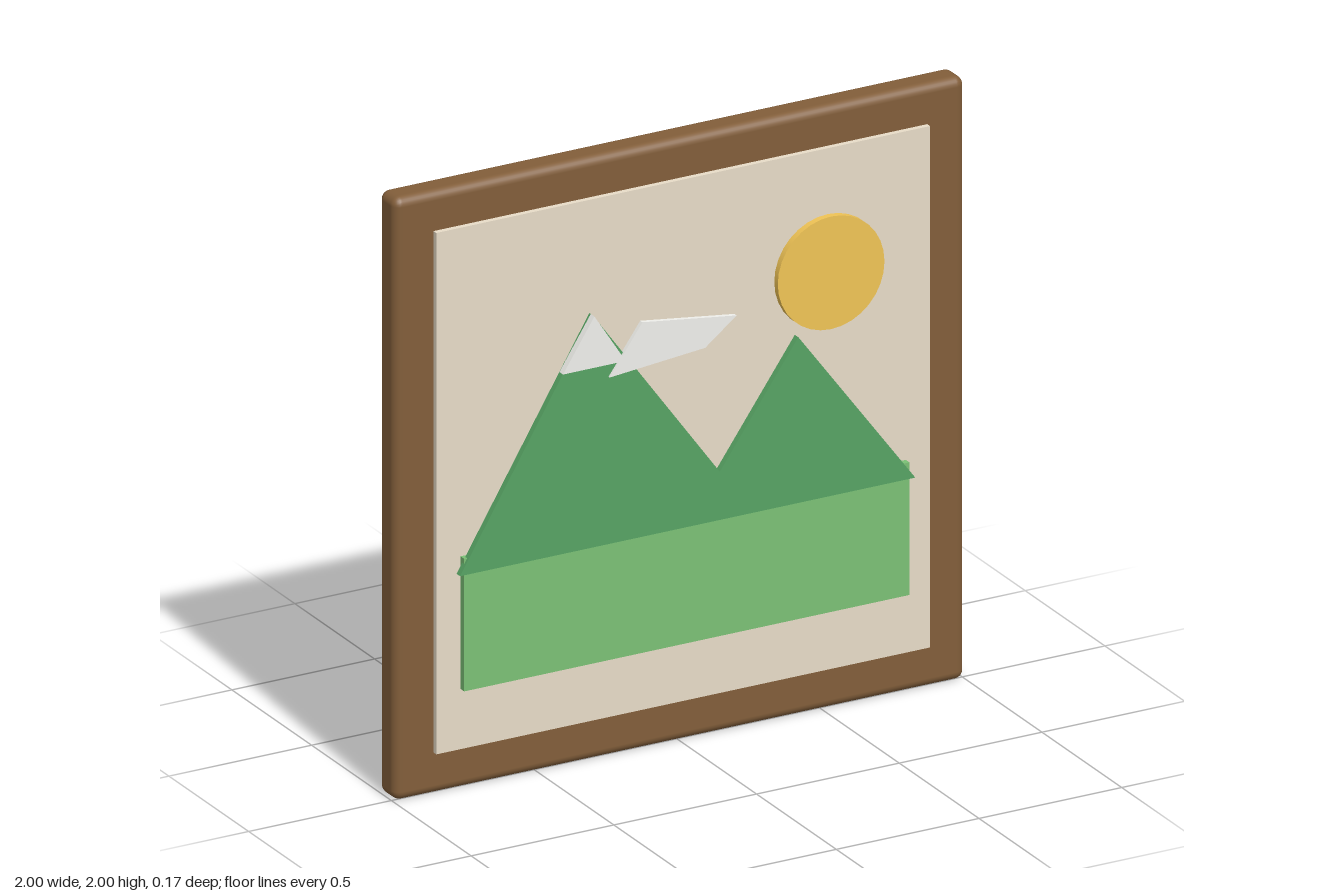
import * as THREE from 'three';
import { RoundedBoxGeometry } from 'three/addons/geometries/RoundedBoxGeometry.js';

const material = (color) => new THREE.MeshStandardMaterial({ color });

export function createModel() {
  const group = new THREE.Group();

  const add = (name, geometry, color, x = 0, y = 0, z = 0) => {
    const mesh = new THREE.Mesh(geometry, material(color));
    mesh.name = name;
    mesh.position.set(x, y, z);
    group.add(mesh);
  };

  // Flat cut-out from an outline, running from zBack to zFront
  const addCutout = (name, points, color, zBack, zFront) => {
    const shape = new THREE.Shape(points.map(([x, y]) => new THREE.Vector2(x, y)));
    const geometry = new THREE.ExtrudeGeometry(shape, { depth: zFront - zBack, bevelEnabled: false });
    add(name, geometry, color, 0, 0, zBack);
  };

  // Solid rounded board with the canvas panel on its front
  add('frame', new RoundedBoxGeometry(2, 2, 0.105, 3, 0.03), 0x825e3a, 0, 1, -0.03);
  add('canvas', new THREE.BoxGeometry(1.73, 1.73, 0.04), 0xe8dcc8, 0, 1.005, 0.02);

  // Meadow strip overlapped by the mountain range
  add('meadow', new THREE.BoxGeometry(1.56, 0.44, 0.023), 0x7bc176, 0, 0.56, 0.0515);
  addCutout('mountains', [
    [-0.8, 0.73], [0.795, 0.73], [0.385, 1.28], [0.11, 0.89], [-0.335, 1.5],
  ], 0x57a464, 0.051, 0.073);

  // Snow cap and cloud
  addCutout('snowCap', [[-0.445, 1.33], [-0.225, 1.33], [-0.335, 1.5]], 0xf0f0ec, 0.06, 0.083);
  addCutout('cloud', [
    [-0.28, 1.285], [0.055, 1.315], [0.165, 1.4], [-0.165, 1.445],
  ], 0xf0f0ec, 0.066, 0.08);

  // Sun disc facing forward
  const disc = new THREE.CylinderGeometry(0.187, 0.187, 0.022, 32).rotateX(Math.PI / 2);
  add('sun', disc, 0xf0c456, 0.5, 1.47, 0.062);

  return group;
}
